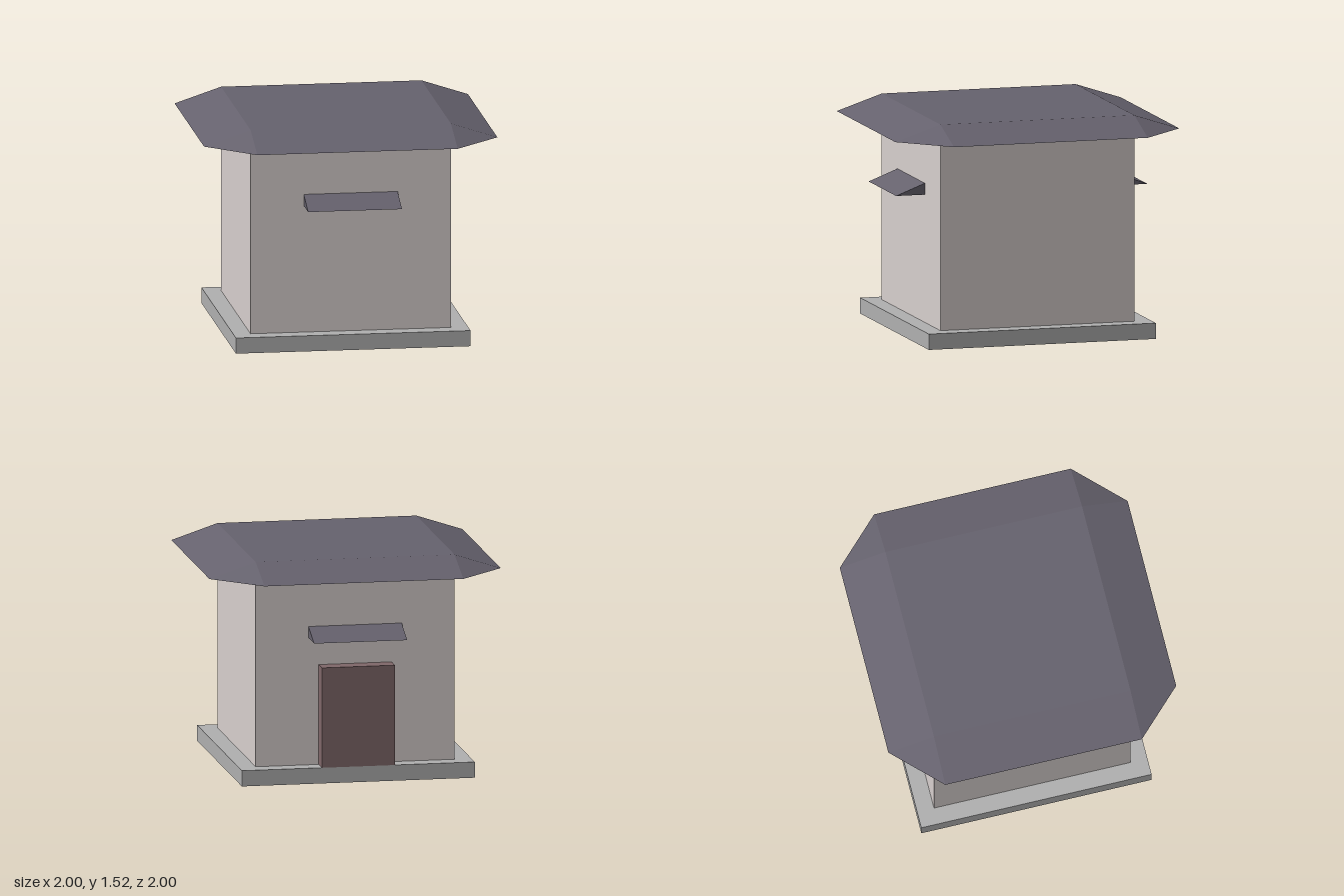
import * as THREE from 'three';
import { ConvexGeometry } from 'three/addons/geometries/ConvexGeometry.js';

const material = (color) => new THREE.MeshStandardMaterial({ color, flatShading: true });

export function createModel() {
  const group = new THREE.Group();
  const plaster = material(0xd8d0ce);
  const stone = material(0xb0b0b0);
  const slate = material(0x66626e);
  const wood = material(0x80686a);
  const half = 0.683; // half width of the walls

  const add = (name, geometry, mat) => {
    const mesh = new THREE.Mesh(geometry, mat);
    mesh.name = name;
    group.add(mesh);
    return mesh;
  };
  const addBox = (name, size, position, mat) =>
    add(name, new THREE.BoxGeometry(...size), mat).position.set(...position);

  // Walls reach slightly below the plinth
  addBox('walls', [2 * half, 1.43, 2 * half], [0, 0.715, 0], plaster);
  addBox('plinth', [1.6, 0.108, 1.6], [0, 0.063, 0], stone);
  addBox('backDoor', [0.5, 0.687, 0.12], [0, 0.46, -0.74], wood);

  // Flat-topped roof with sloping eaves and cut corners
  const points = [];
  for (const sx of [-1, 1]) {
    for (const sz of [-1, 1]) {
      points.push(
        new THREE.Vector3(sx * half, 1.525, sz * half),
        new THREE.Vector3(sx, 1.42, sz * half),
        new THREE.Vector3(sx * half, 1.42, sz),
      );
    }
  }
  add('roof', new ConvexGeometry(points), slate);

  // Wedge-shaped awnings on the front and back walls
  const wedge = new THREE.Shape([
    new THREE.Vector2(half, 0.99),
    new THREE.Vector2(0.885, 0.99),
    new THREE.Vector2(half, 1.068),
  ]);
  const awning = new THREE.ExtrudeGeometry(wedge, { depth: 0.64, bevelEnabled: false });
  awning.translate(0, 0, -0.32);
  add('frontAwning', awning, slate).rotation.y = -Math.PI / 2;
  add('backAwning', awning, slate).rotation.y = Math.PI / 2;

  return group;
}
